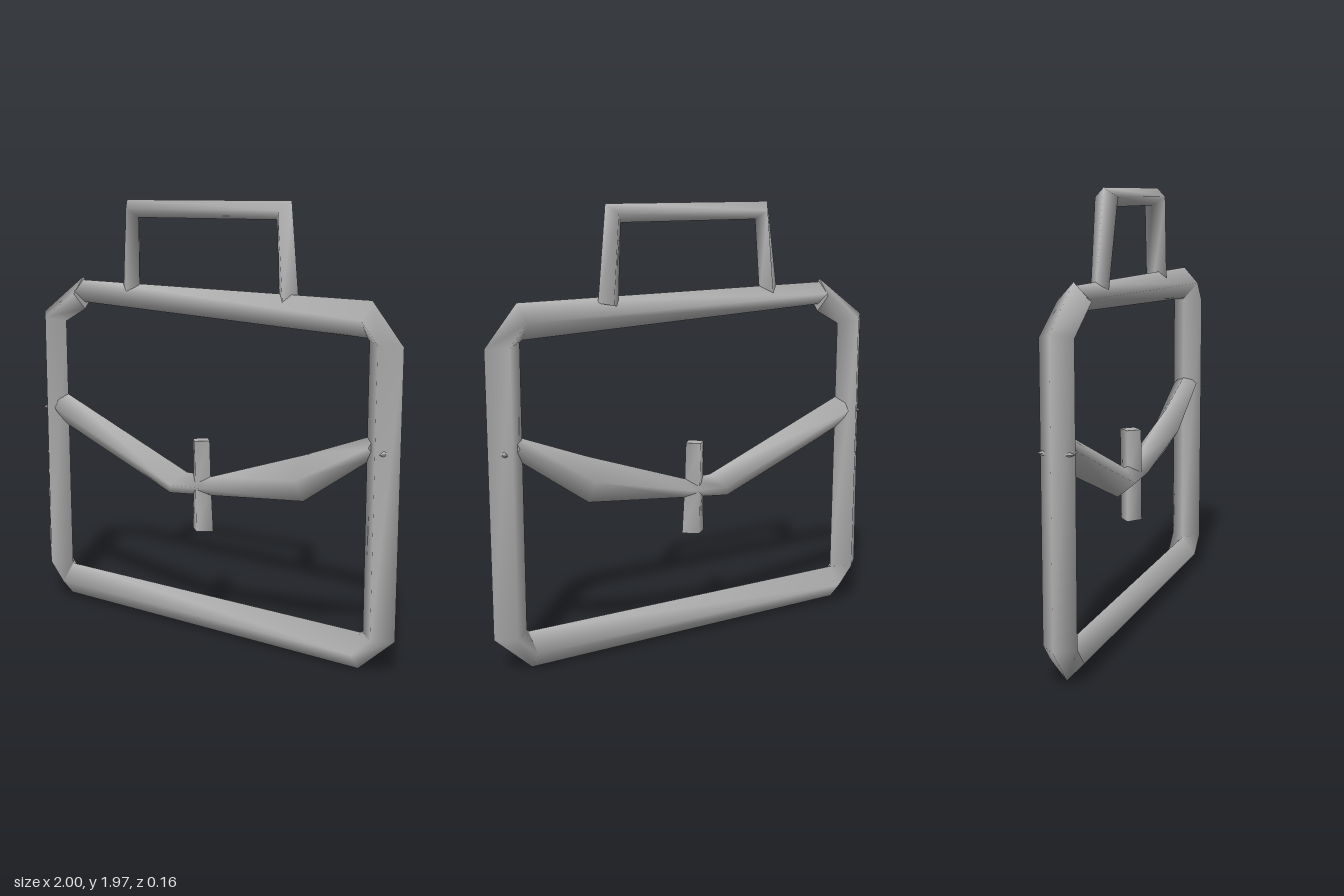
import * as THREE from 'three';

// Four-sided bar through stations [ax, ay, bx, by, halfDepth, zOffset]:
// a and b are its two edges in the front plane, ridges run front and back between them.
function barGeometry(stations) {
  const pos = [], idx = [];
  const ring = ([ax, ay, bx, by, d = 0.073, z = 0]) => {
    const mx = (ax + bx) / 2, my = (ay + by) / 2;
    return [ax, ay, z, mx, my, z + d, bx, by, z, mx, my, z - d];
  };
  stations.forEach((s) => pos.push(...ring(s)));
  for (let i = 0; i < stations.length - 1; i++) {
    for (let j = 0; j < 4; j++) {
      const a = i * 4 + j, b = i * 4 + (j + 1) % 4;
      idx.push(a, b, b + 4, a, b + 4, a + 4);
    }
  }
  // end caps on their own vertices so the ends stay crisp
  const c = stations.length * 4, e = c + 4;
  pos.push(...ring(stations[0]), ...ring(stations[stations.length - 1]));
  idx.push(c, c + 2, c + 1, c, c + 3, c + 2, e, e + 1, e + 2, e, e + 2, e + 3);
  const g = new THREE.BufferGeometry();
  g.setAttribute('position', new THREE.Float32BufferAttribute(pos, 3));
  g.setIndex(idx);
  g.computeVertexNormals();
  return g;
}

export function createModel() {
  const model = new THREE.Group();
  model.name = 'briefcase';
  const grey = new THREE.MeshStandardMaterial({ color: 0xb2b2b2 });
  grey.name = 'grey';

  const addBar = (name, stations) => {
    const mesh = new THREE.Mesh(barGeometry(stations), grey);
    mesh.name = name;
    model.add(mesh);
    return mesh;
  };

  // outer frame, clockwise from the break at the top left corner
  addBar('caseFrame', [
    [-0.74, 1.595, -0.74, 1.49, 0.065],
    [0.85, 1.58, 0.83, 1.425],
    [1.0, 1.4, 0.84, 1.415],
    [0.995, 0.16, 0.84, 0.175],
    [0.82, 0.003, 0.83, 0.168],
    [-0.85, 0.013, -0.835, 0.168],
    [-1.0, 0.18, -0.842, 0.175],
    [-1.0, 1.43, -0.855, 1.39],
    [-0.74, 1.61, -0.73, 1.455],
  ]);

  // carrying handle, slightly skewed in depth
  addBar('handle', [
    [-0.485, 1.56, -0.385, 1.545, 0.04, 0.0],
    [-0.44, 1.975, -0.37, 1.895, 0.05, 0.02],
    [0.44, 1.975, 0.365, 1.895, 0.05, -0.02],
    [0.48, 1.56, 0.38, 1.54, 0.05, -0.02],
  ]);

  // flap edge sagging to the clasp, with a bulge on the left half
  addBar('flapEdge', [
    [-0.89, 1.045, -0.88, 0.885, 0.065],
    [-0.11, 0.738, -0.21, 0.625, 0.065],
    [0.03, 0.735, 0.03, 0.647, 0.065],
    [0.53, 0.9, 0.53, 0.695, 0.065],
    [0.88, 1.03, 0.88, 0.935, 0.06],
  ]);

  // clasp strap
  addBar('clasp', [
    [0.022, 0.9, -0.075, 0.9, 0.05],
    [0.03, 0.69, -0.072, 0.69, 0.05],
    [0.043, 0.48, -0.075, 0.48, 0.05],
  ]);

  // small pins where the flap meets the frame
  for (const side of [-1, 1]) {
    for (const face of [-1, 1]) {
      const pin = new THREE.Mesh(new THREE.ConeGeometry(0.02, 0.05, 4), grey);
      pin.name = 'flapPin';
      pin.position.set(side * 0.945, 0.965, face * 0.055);
      pin.rotation.x = face * Math.PI / 2;
      model.add(pin);
    }
  }
  return model;
}
